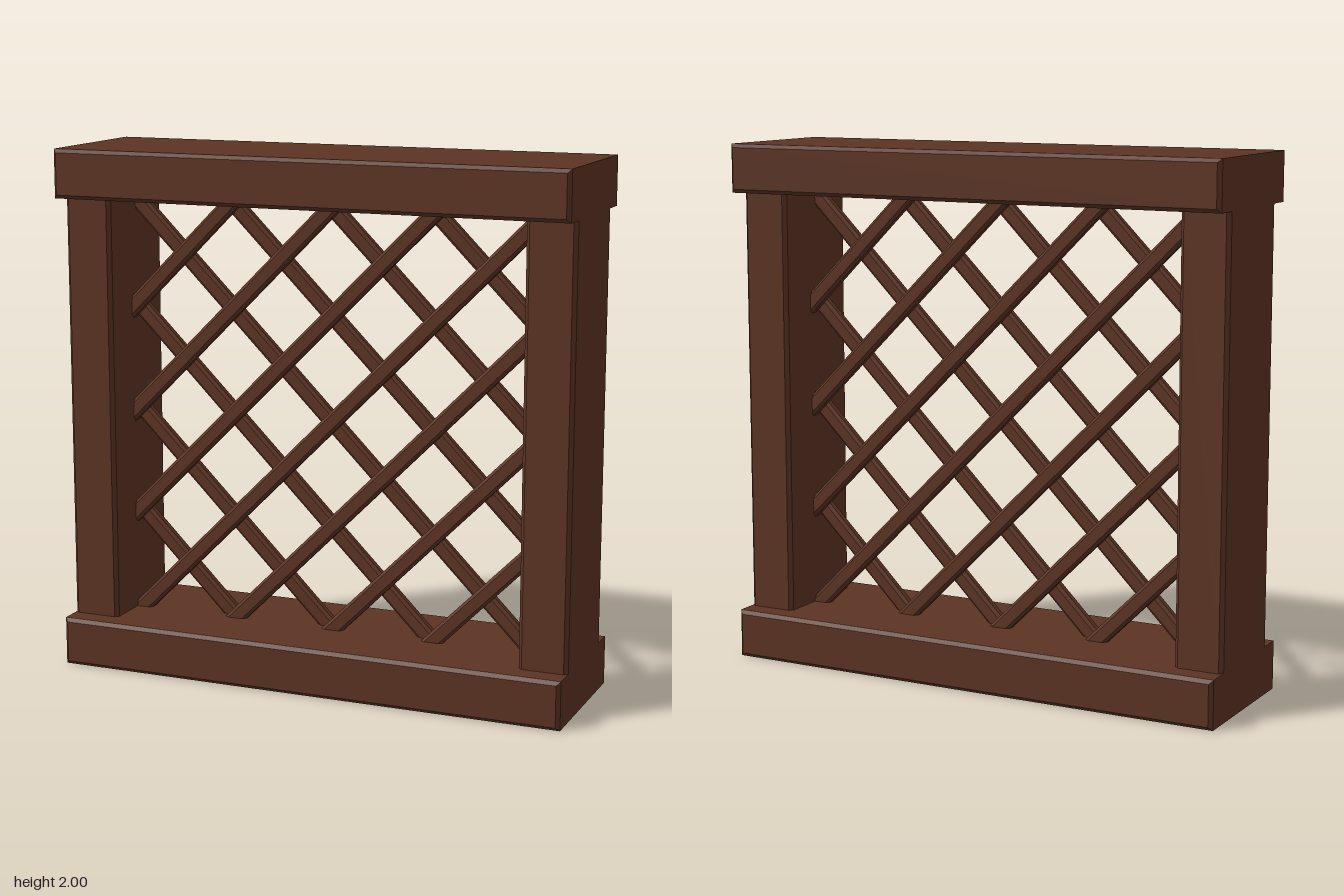
import * as THREE from 'three';

const wood = new THREE.MeshStandardMaterial({ color: 0x5c3423 });
wood.name = 'dark brown wood';

// Box with a flat chamfer on every edge, centred on its origin
function chamferBox(w, h, d, c) {
  const x = w / 2 - c, y = h / 2 - c;
  const shape = new THREE.Shape();
  shape.moveTo(-x, -y);
  shape.lineTo(x, -y);
  shape.lineTo(x, y);
  shape.lineTo(-x, y);
  shape.closePath();
  const geo = new THREE.ExtrudeGeometry(shape, {
    depth: d - 2 * c, bevelEnabled: true, bevelSegments: 1, bevelSize: c, bevelThickness: c,
  });
  return geo.translate(0, 0, -(d / 2 - c));
}

function addPart(parent, name, geo, x, y, z) {
  const mesh = new THREE.Mesh(geo, wood);
  mesh.name = name;
  mesh.position.set(x, y, z);
  parent.add(mesh);
  return mesh;
}

// One layer of parallel diagonal slats; slope is +1 or -1
function slatLayer(name, slope, z) {
  const layer = new THREE.Group();
  layer.name = name;
  const reach = 0.84; // the ends sit just inside the frame
  for (let k = -3; k <= 3; k++) {
    const offset = -0.02 + 0.405 * k; // height above the middle at x = 0
    // The slat follows y = slope * x + offset within the opening
    const a = (-reach - offset) * slope, b = (reach - offset) * slope;
    const x0 = Math.max(-reach, Math.min(a, b));
    const x1 = Math.min(reach, Math.max(a, b));
    const mid = (x0 + x1) / 2;
    const geo = chamferBox((x1 - x0) * Math.SQRT2 + 0.06, 0.062, 0.045, 0.011);
    const slat = addPart(layer, 'slat', geo, mid, 1 + slope * mid + offset, z);
    slat.rotation.z = slope * Math.PI / 4;
  }
  return layer;
}

export function createModel() {
  const model = new THREE.Group();
  model.name = 'latticePanel';

  // Wide rails at the bottom and top
  const rail = chamferBox(2, 0.185, 0.6, 0.014);
  addPart(model, 'bottomRail', rail, 0, 0.0925, 0);
  addPart(model, 'topRail', rail, 0, 1.9075, 0);

  // Narrower side posts, running slightly into the rails
  const post = chamferBox(0.186, 1.68, 0.42, 0.014);
  addPart(model, 'leftPost', post, 0.907, 1, 0);
  addPart(model, 'rightPost', post, -0.907, 1, 0);

  // Crossed lattice in two layers
  model.add(slatLayer('frontSlats', 1, 0.02));
  model.add(slatLayer('backSlats', -1, -0.02));
  return model;
}
